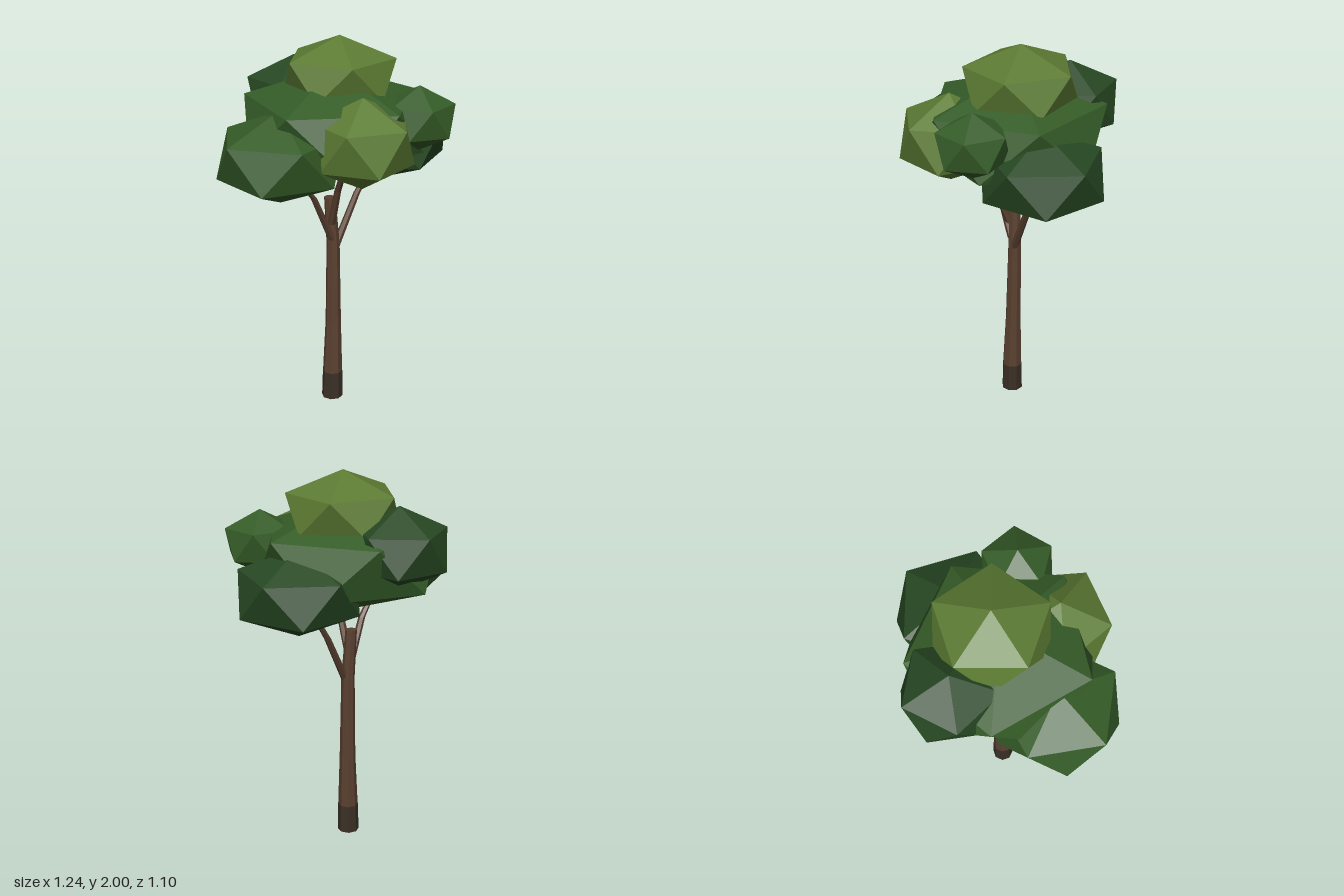
import * as THREE from 'three';
import { ConvexGeometry } from 'three/addons/geometries/ConvexGeometry.js';

const material = (color) => new THREE.MeshStandardMaterial({ color, roughness: 0.9, flatShading: true });
const bark = material(0x5a4030);
const darkBark = material(0x3a3025);
const lightLeaf = material(0x5c7b33);
const midLeaf = material(0x355c28);
const darkLeaf = material(0x274823);

// Twelve-cornered leaf clump: two poles and two staggered rings of five
function clumpGeometry(radius, height, turn) {
  const points = [new THREE.Vector3(0, height, 0), new THREE.Vector3(0, -height, 0)];
  const ring = radius * 0.894, level = height * 0.447;
  for (let i = 0; i < 10; i++) {
    const a = THREE.MathUtils.degToRad(turn + i * 36);
    points.push(new THREE.Vector3(ring * Math.cos(a), i % 2 ? -level : level, ring * Math.sin(a)));
  }
  return new ConvexGeometry(points);
}

// Tapered limb through horizontal sections [x, y, z, radius], closed at both ends
function limbGeometry(sections, sides) {
  const positions = [], index = [];
  for (const [x, y, z, r] of sections) {
    for (let i = 0; i < sides; i++) {
      const a = ((i + 0.5) / sides) * Math.PI * 2;
      positions.push(x + r * Math.cos(a), y, z + r * Math.sin(a));
    }
  }
  const last = (sections.length - 1) * sides;
  const bottom = positions.length / 3, top = bottom + 1;
  positions.push(...sections[0].slice(0, 3), ...sections[sections.length - 1].slice(0, 3));
  for (let i = 0; i < sides; i++) {
    const j = (i + 1) % sides;
    for (let s = 0; s < last; s += sides) {
      index.push(s + i, s + sides + i, s + sides + j, s + i, s + sides + j, s + j);
    }
    index.push(bottom, i, j, top, last + j, last + i);
  }
  const indexed = new THREE.BufferGeometry();
  indexed.setAttribute('position', new THREE.Float32BufferAttribute(positions, 3));
  indexed.setIndex(index);
  const geometry = indexed.toNonIndexed();
  geometry.computeVertexNormals();
  return geometry;
}

export function createModel() {
  const tree = new THREE.Group();
  tree.name = 'tree';
  const add = (name, geometry, mat) => {
    const mesh = new THREE.Mesh(geometry, mat);
    mesh.name = name;
    tree.add(mesh);
    return mesh;
  };

  // Trunk with a darker foot
  add('trunkBase', limbGeometry([
    [-0.018, 0, -0.013, 0.057], [-0.016, 0.155, -0.013, 0.054],
  ], 8), darkBark);
  add('trunk', limbGeometry([
    [-0.016, 0.155, -0.013, 0.053], [-0.011, 0.45, -0.018, 0.042],
    [-0.01, 0.9, -0.025, 0.035], [-0.027, 1.16, -0.027, 0.03],
  ], 8), bark);

  // Branches reaching into the leaves
  const branches = {
    rightBranch: [[-0.02, 0.93, -0.01], [-0.13, 1.19, 0.06], [-0.24, 1.34, 0.11]],
    leftBranch: [[0, 0.88, -0.02], [0.13, 1.15, -0.08], [0.23, 1.32, -0.11]],
    frontBranch: [[-0.025, 1.02, 0], [-0.01, 1.23, 0.08], [0.01, 1.42, 0.19]],
  };
  for (const [name, path] of Object.entries(branches)) {
    add(name, limbGeometry(path.map((p, i) => [...p, 0.022 - i * 0.004]), 6), bark);
  }

  // Leaf clumps: name, centre, radius, half height, turn in degrees, material
  const clumps = [
    ['middleLeaves', [-0.01, 1.56, -0.02], 0.515, 0.29, 60, midLeaf],
    ['topLeaves', [0.03, 1.8, -0.05], 0.318, 0.2, 19, lightLeaf],
    ['rightLeaves', [-0.32, 1.455, 0.155], 0.35, 0.235, 9, midLeaf],
    ['leftLeaves', [0.31, 1.435, -0.14], 0.342, 0.225, 37, darkLeaf],
    ['frontLeaves', [0.06, 1.54, 0.3], 0.283, 0.23, 50, lightLeaf],
    ['backLeaves', [-0.15, 1.645, -0.31], 0.272, 0.21, 46, darkLeaf],
    ['smallLeaves', [0.375, 1.62, 0.195], 0.198, 0.165, 14, midLeaf],
  ];
  for (const [name, centre, radius, height, turn, mat] of clumps) {
    add(name, clumpGeometry(radius, height, turn), mat).position.set(...centre);
  }
  return tree;
}
